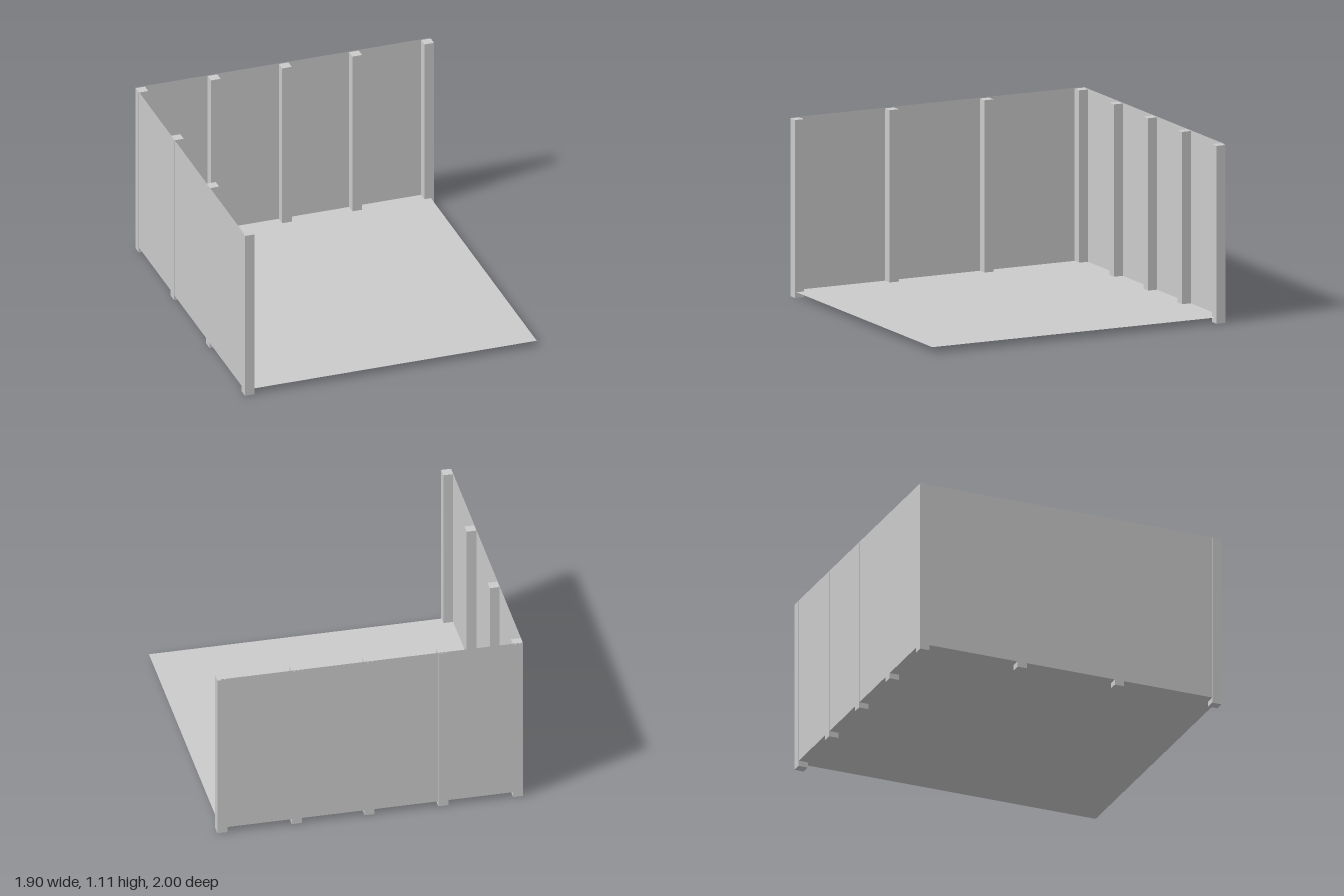
import * as THREE from 'three';

const POST = 0.062, POST_H = 1.105;      // square post width, height
const FLOOR_Y = 0.035, WALL_TOP = 1.11;
const X0 = -0.953, X1 = 0.93, Z0 = -0.998, Z1 = 0.99;

export function createModel() {
  const group = new THREE.Group();
  const solid = new THREE.MeshStandardMaterial({ color: 0xcccccc, flatShading: true });
  const sheet = new THREE.MeshStandardMaterial({ color: 0xcccccc, flatShading: true, side: THREE.DoubleSide });

  const add = (name, geometry, material, x, y, z) => {
    const mesh = new THREE.Mesh(geometry, material);
    mesh.name = name;
    mesh.position.set(x, y, z);
    group.add(mesh);
  };

  const w = X1 - X0, d = Z1 - Z0, h = WALL_TOP - FLOOR_Y;
  const cx = (X0 + X1) / 2, cz = (Z0 + Z1) / 2, cy = (FLOOR_Y + WALL_TOP) / 2;

  // Thin floor and two wall sheets meeting in one corner
  add('floor', new THREE.PlaneGeometry(w, d).rotateX(-Math.PI / 2), sheet, cx, FLOOR_Y, cz);
  add('backWall', new THREE.PlaneGeometry(w, h), sheet, cx, cy, Z0);
  add('sideWall', new THREE.PlaneGeometry(d, h).rotateY(Math.PI / 2), sheet, X0, cy, cz);

  // Posts along both walls, sharing the corner post
  const postGeometry = new THREE.BoxGeometry(POST, POST_H, POST);
  const px = -0.923, pz = -0.969;
  for (const x of [px, -0.457, 0.002, 0.455, 0.919])
    add('backPost', postGeometry, solid, x, POST_H / 2, pz);
  for (const z of [-0.323, 0.323, 0.969])
    add('sidePost', postGeometry, solid, px, POST_H / 2, z);

  return group;
}
